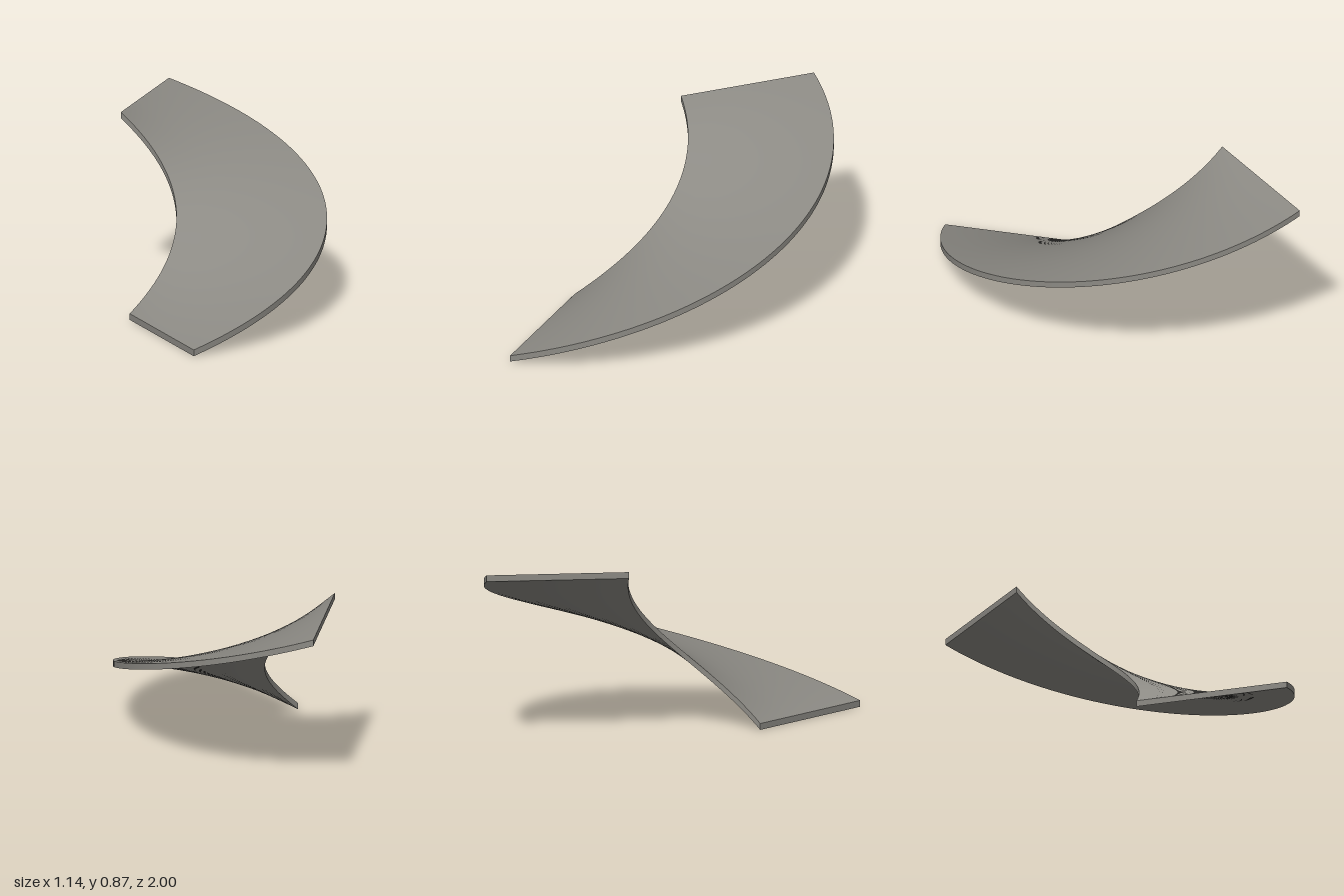
import * as THREE from 'three';

const CX = -0.571, CZ = -0.204;      // spiral axis
const SWEEP = 136.4 * Math.PI / 180; // total turn
const RISE = 0.84, THICK = 0.032, SEGMENTS = 72;
const R0 = 1.204, R1 = 1.1, INNER = 0.351; // outer radius at start and end, inner ratio

// Cross-section at t: inner top, outer top, outer bottom, inner bottom
function section(t) {
  const a = t * SWEEP;
  const r = R0 + (R1 - R0) * t;
  // constant slope along the shrinking arc
  const y = RISE * t * (R0 + r) / (R0 + R1);
  const at = (radius, h) => new THREE.Vector3(CX + radius * Math.sin(a), h, CZ + radius * Math.cos(a));
  return [at(r * INNER, y + THICK), at(r, y + THICK), at(r, y), at(r * INNER, y)];
}

// Smooth surface between two corners of the section, swept along the spiral
function sweptFace(from, to, steps) {
  const points = [], index = [];
  for (let i = 0; i <= SEGMENTS; i++) {
    const s = section(i / SEGMENTS);
    for (let j = 0; j <= steps; j++) points.push(s[from].clone().lerp(s[to], j / steps));
  }
  const row = steps + 1;
  for (let i = 0; i < SEGMENTS; i++) {
    for (let j = 0; j < steps; j++) {
      const a = i * row + j, d = a + row;
      index.push(a, a + 1, d, a + 1, d + 1, d);
    }
  }
  return surface(points, index);
}

function surface(points, index) {
  const g = new THREE.BufferGeometry().setFromPoints(points);
  g.setIndex(index);
  g.computeVertexNormals();
  return g;
}

export function createModel() {
  const group = new THREE.Group();
  group.name = 'spiralRamp';
  const grey = new THREE.MeshStandardMaterial({ color: 0x8c8a84 });
  grey.name = 'warmGrey';
  const add = (name, geometry) => {
    const mesh = new THREE.Mesh(geometry, grey);
    mesh.name = name;
    group.add(mesh);
  };

  // Deck, underside and curved edges
  add('deck', sweptFace(0, 1, 6));
  add('outerEdge', sweptFace(1, 2, 1));
  add('underside', sweptFace(2, 3, 6));
  add('innerEdge', sweptFace(3, 0, 1));

  // Flat ends
  add('lowerEnd', surface(section(0).reverse(), [0, 1, 2, 0, 2, 3]));
  add('upperEnd', surface(section(1), [0, 1, 2, 0, 2, 3]));
  return group;
}
